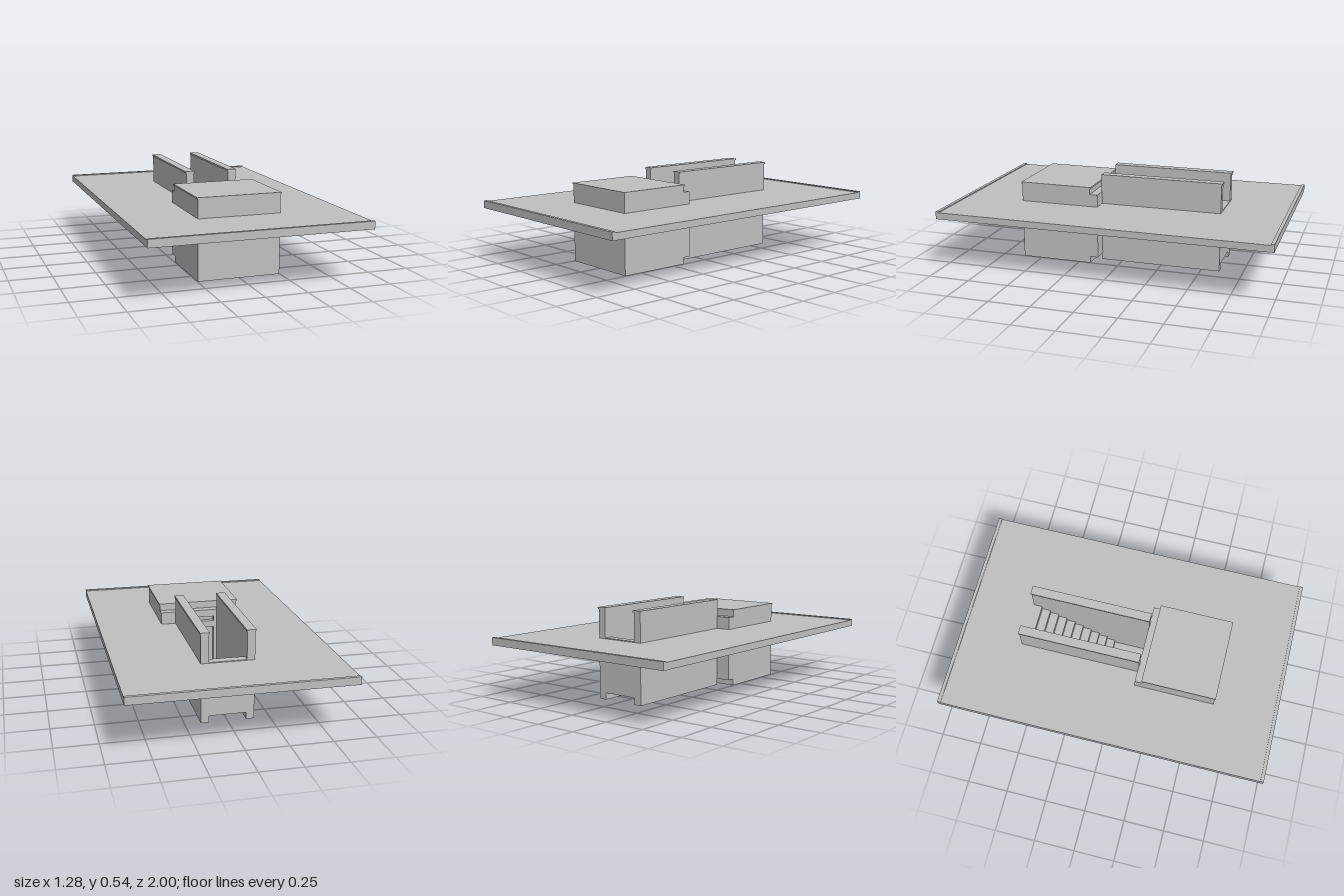
import * as THREE from 'three';

export function createModel() {
  const group = new THREE.Group();
  const grey = new THREE.MeshStandardMaterial({ color: 0xc0c0c0 });
  grey.name = 'concrete grey';

  function add(name, geometry) {
    const mesh = new THREE.Mesh(geometry, grey);
    mesh.name = name;
    group.add(mesh);
    return mesh;
  }
  // Box given by its min and max on each axis
  function box(name, x0, x1, y0, y1, z0, z1) {
    const g = new THREE.BoxGeometry(x1 - x0, y1 - y0, z1 - z0);
    g.translate((x0 + x1) / 2, (y0 + y1) / 2, (z0 + z1) / 2);
    return add(name, g);
  }
  function rect(path, x0, x1, y0, y1) {
    path.moveTo(x0, y0);
    path.lineTo(x1, y0);
    path.lineTo(x1, y1);
    path.lineTo(x0, y1);
    path.closePath();
    return path;
  }

  // Ground slab with an opening for the stairwell
  const slab = rect(new THREE.Shape(), -0.64, 0.64, -1, 1);
  slab.holes.push(rect(new THREE.Path(), -0.11, 0.11, -0.13, 0.61));
  const slabGeometry = new THREE.ExtrudeGeometry(slab, { depth: 0.04, bevelEnabled: false });
  slabGeometry.rotateX(-Math.PI / 2).translate(0, 0.32, 0);
  add('slab', slabGeometry);
  for (const s of [-1, 1]) {
    box('slabEdge', -0.64, 0.64, 0.355, 0.366, s > 0 ? 0.98 : -1, s > 0 ? 1 : -0.98);
  }

  // Front room with its thin roof
  box('room', -0.247, 0.247, 0, 0.471, 0.175, 0.615);
  box('roomRoof', -0.252, 0.252, 0.471, 0.48, 0.168, 0.619);

  // Door frame between the room and the stairwell
  const frame = rect(new THREE.Shape(), -0.247, 0.247, 0.04, 0.435);
  frame.holes.push(rect(new THREE.Path(), -0.09, 0.09, 0.05, 0.39));
  const frameGeometry = new THREE.ExtrudeGeometry(frame, { depth: 0.05, bevelEnabled: false });
  frameGeometry.translate(0, 0, 0.127);
  add('doorFrame', frameGeometry);
  for (const s of [-1, 1]) {
    box('door', s > 0 ? 0.002 : -0.09, s > 0 ? 0.09 : -0.002, 0.05, 0.39, 0.16, 0.175);
  }

  // Stairwell side walls with coping
  for (const s of [-1, 1]) {
    const [a, b] = s > 0 ? [0.11, 0.157] : [-0.157, -0.11];
    box('stairWall', a, b, 0, 0.531, -0.61, 0.13);
    box('wallCoping', a - 0.004, b + 0.004, 0.531, 0.542, -0.615, 0.13);
  }

  // Stair flight in profile, descending towards the door
  const steps = 10, run = 0.052, rise = 0.0325;
  const profile = new THREE.Shape();
  profile.moveTo(-0.61, 0.04);
  profile.lineTo(-0.09, 0.04);
  for (let i = 0; i < steps; i++) {
    const z = -0.09 - i * run;
    profile.lineTo(z, 0.04 + (i + 1) * rise);
    profile.lineTo(i === steps - 1 ? -0.61 : z - run, 0.04 + (i + 1) * rise);
  }
  profile.closePath();
  const stairs = new THREE.ExtrudeGeometry(profile, { depth: 0.22, bevelEnabled: false });
  stairs.rotateY(-Math.PI / 2).translate(0.11, 0, 0);
  add('stairs', stairs);

  // Floor at the foot of the stairs
  box('landing', -0.11, 0.11, 0, 0.04, -0.09, 0.13);

  return group;
}
